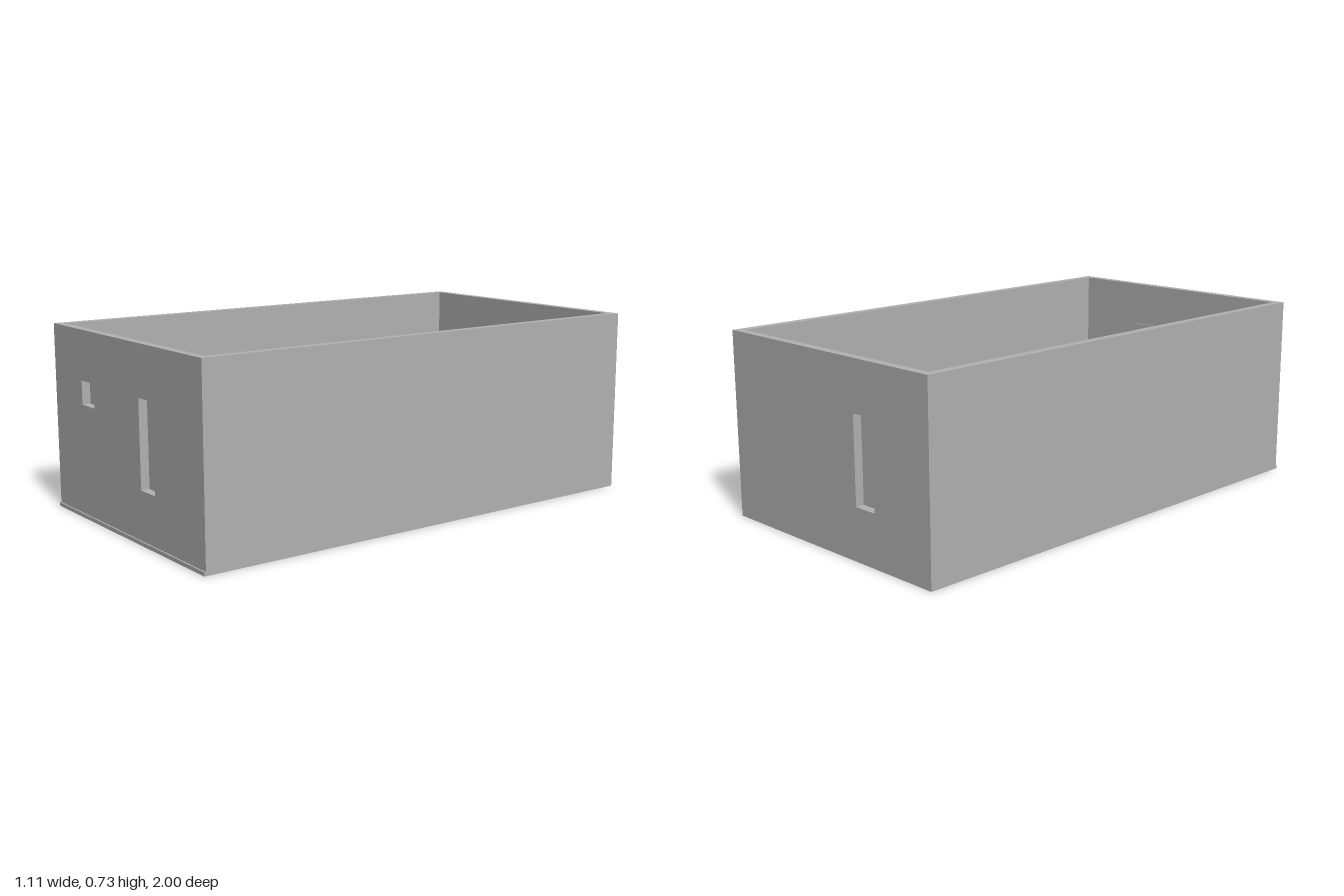
import * as THREE from 'three';

const HALF_W = 0.555, H = 0.733, T = 0.034;
const BACK = -1, FRONT = 0.994;

const rect = (path, x0, y0, x1, y1) => {
  path.moveTo(x0, y0);
  path.lineTo(x1, y0);
  path.lineTo(x1, y1);
  path.lineTo(x0, y1);
  path.closePath();
  return path;
};

export function createModel() {
  const model = new THREE.Group();
  const plaster = new THREE.MeshStandardMaterial({ color: 0xb2b2b2 });
  plaster.name = 'grey plaster';

  const add = (name, geometry, x, y, z) => {
    const mesh = new THREE.Mesh(geometry, plaster);
    mesh.name = name;
    mesh.position.set(x, y, z);
    model.add(mesh);
  };

  // End wall with openings, each closed by a thin panel on the inner face
  const endWall = (name, z, innerZ, inward, openings) => {
    const shape = rect(new THREE.Shape(), -HALF_W, 0, HALF_W, H);
    for (const o of openings) shape.holes.push(rect(new THREE.Path(), o.x0, o.y0, o.x1, o.y1));
    add(name, new THREE.ExtrudeGeometry(shape, { depth: T, bevelEnabled: false }), 0, 0, z);
    const lap = 0.012, thick = 0.006;
    for (const o of openings) {
      add(o.name, new THREE.BoxGeometry(o.x1 - o.x0 + 2 * lap, o.y1 - o.y0 + 2 * lap, thick),
        (o.x0 + o.x1) / 2, (o.y0 + o.y1) / 2, innerZ + inward * thick / 2);
    }
  };

  endWall('frontWall', FRONT - T, FRONT - T, -1, [
    { name: 'windowPanel', x0: -0.329, x1: -0.227, y0: 0.445, y1: 0.538 },
    { name: 'frontDoorPanel', x0: 0.119, x1: 0.219, y0: 0.203, y1: 0.538 },
  ]);
  endWall('backWall', BACK, BACK + T, 1, [
    { name: 'backDoorPanel', x0: -0.266, x1: -0.165, y0: 0.203, y1: 0.538 },
  ]);

  // Long side walls between the end walls
  const length = FRONT - BACK - 2 * T;
  for (const side of [-1, 1]) {
    add(side > 0 ? 'leftWall' : 'rightWall', new THREE.BoxGeometry(T, H, length),
      side * (HALF_W - T / 2), H / 2, (FRONT + BACK) / 2);
  }

  // Low skirting strip along the front
  add('frontSkirting', new THREE.BoxGeometry(2 * HALF_W, 0.015, 1 - FRONT), 0, 0.0075, (1 + FRONT) / 2);

  return model;
}
